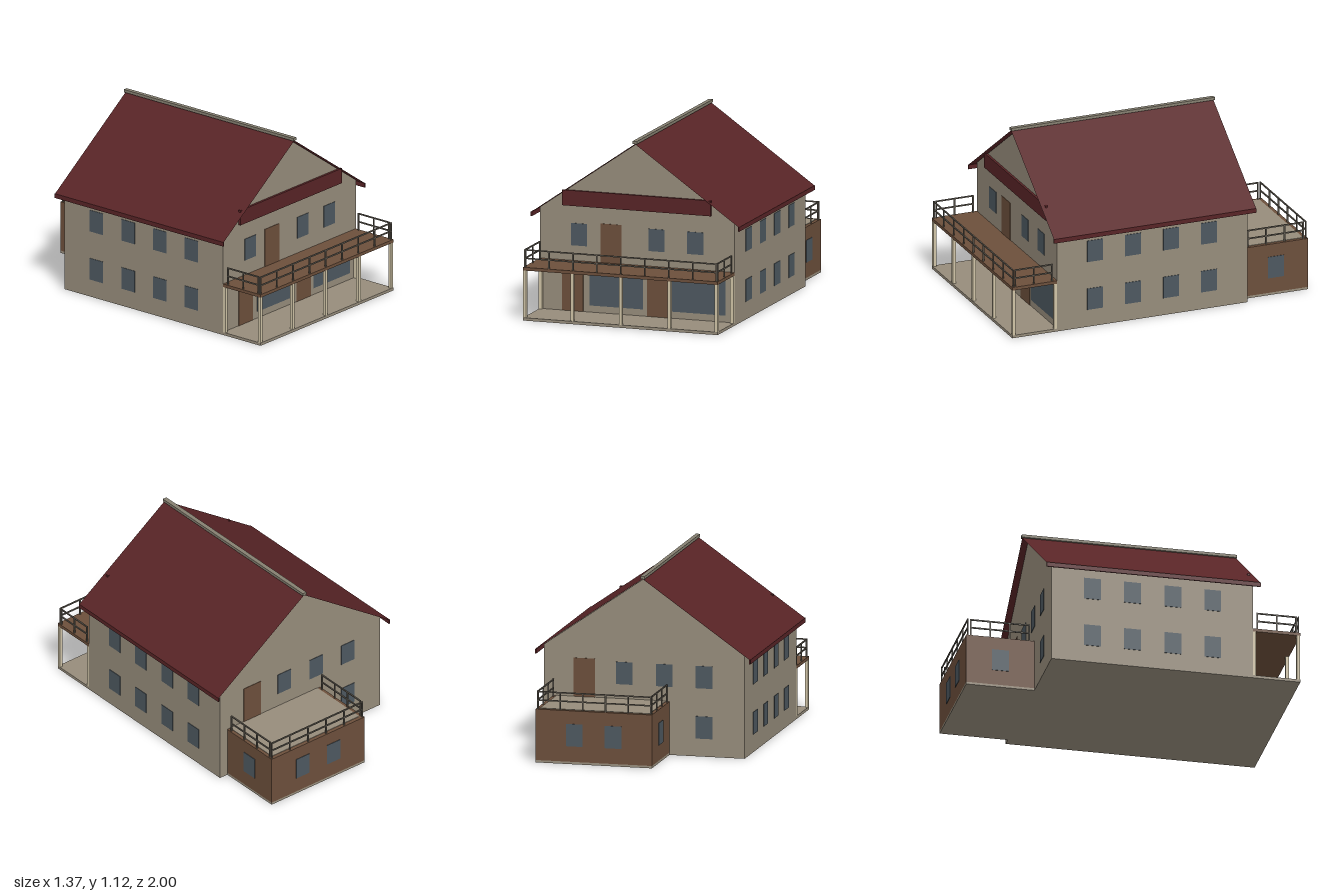
import * as THREE from 'three';

const mat = (name, color, extra = {}) => {
  const m = new THREE.MeshStandardMaterial({ color, ...extra });
  m.name = name;
  return m;
};

export function createModel() {
  const house = new THREE.Group();
  house.name = 'house';
  const wall = mat('beige wall', 0x968c7b);
  const roof = mat('dark red roof', 0x582426, { side: THREE.DoubleSide });
  const wood = mat('brown wood', 0x6c4f3b);
  const glass = mat('blue grey glass', 0x4d5860);
  const cream = mat('cream post', 0xcfc3a6);
  const metal = mat('grey railing', 0x655f55);
  const capGrey = mat('ridge grey', 0x857f70);

  // Box given by its lower and upper limits on each axis
  const box = (name, m, x0, x1, y0, y1, z0, z1) => {
    const mesh = new THREE.Mesh(new THREE.BoxGeometry(x1 - x0, y1 - y0, z1 - z0), m);
    mesh.position.set((x0 + x1) / 2, (y0 + y1) / 2, (z0 + z1) / 2);
    mesh.name = name;
    house.add(mesh);
    return mesh;
  };

  const W = 0.638, FRONT = 0.7, BACK = -0.57, END = 1, EAVE = 0.655, APEX = 1.1;
  const DECK = 0.335, AX0 = -0.16, AX1 = 0.58, T = 0.003;

  // Main body with gables
  const gable = new THREE.Shape([
    [-W, 0], [W, 0], [W, EAVE], [0, APEX], [-W, EAVE],
  ].map(([x, y]) => new THREE.Vector2(x, y)));
  const body = new THREE.Mesh(
    new THREE.ExtrudeGeometry(gable, { depth: FRONT - BACK, bevelEnabled: false }), wall);
  body.position.z = BACK;
  body.name = 'mainBody';
  house.add(body);

  // Roof sheets, eave boards and ridge cap
  const R = 0.68, slope = (APEX - EAVE) / W, RZ0 = -0.61, RZ1 = 0.74;
  for (const s of [-1, 1]) {
    const sheet = new THREE.PlaneGeometry(R * Math.hypot(1, slope), RZ1 - RZ0);
    sheet.rotateX(-Math.PI / 2);
    const mesh = new THREE.Mesh(sheet, roof);
    mesh.rotation.z = -s * Math.atan(slope);
    mesh.position.set(s * R / 2, APEX + 0.004 - slope * R / 2, (RZ0 + RZ1) / 2);
    mesh.name = 'roofSlope';
    house.add(mesh);
    box('eaveBoard', roof, s * R - 0.004, s * R + 0.004, 0.602, 0.63, RZ0, RZ1);
  }
  box('ridgeCap', capGrey, -0.014, 0.014, 1.104, 1.122, RZ0 - 0.005, RZ1 + 0.003);
  box('gableBand', roof, -0.488, 0.488, 0.68, 0.777, FRONT, FRONT + 0.015);

  // Porch floor, balcony deck and posts
  box('porchFloor', wall, -W, W, 0, 0.018, FRONT, END);
  box('balconyDeck', wood, -W, W, 0.315, DECK, FRONT, END);
  for (const x of [-0.628, -0.318, 0, 0.318, 0.628])
    box('porchPost', cream, x - 0.01, x + 0.01, 0.018, 0.315, END - 0.022, END - 0.002);
  for (const x of [-0.628, 0.628])
    box('wallPost', cream, x - 0.01, x + 0.01, 0.018, 0.315, FRONT, FRONT + 0.02);

  // Rear annex with terrace on top
  box('annexBase', wall, AX0, AX1, 0, 0.015, -END, BACK);
  box('annexWalls', wood, AX0, AX1, 0.015, DECK, -END, BACK);
  box('terraceFloor', wall, AX0 + 0.022, AX1 - 0.022, DECK, DECK + T, -END + 0.025, BACK);

  // Straight railing between two points, with posts at even steps
  const railing = (xa, za, xb, zb, spans) => {
    const h = 0.004, top = 0.447;
    for (const y of [0.39, top - h])
      box('rail', metal, Math.min(xa, xb) - h, Math.max(xa, xb) + h, y - h, y + h,
        Math.min(za, zb) - h, Math.max(za, zb) + h);
    for (let i = 0; i <= spans; i++) {
      const x = xa + (xb - xa) * i / spans, z = za + (zb - za) * i / spans;
      box('railingPost', metal, x - h, x + h, DECK, top - h, z - h, z + h);
    }
  };
  railing(-0.628, 0.99, 0.628, 0.99, 8);
  for (const x of [-0.628, 0.628]) railing(x, 0.73, x, 0.975, 2);
  railing(AX0 + 0.01, -0.988, AX1 - 0.01, -0.988, 5);
  for (const x of [AX0 + 0.01, AX1 - 0.01]) railing(x, -0.6, x, -0.97, 3);

  // Thin plates on walls facing along z or x (s is the outward direction)
  const plateZ = (name, m, x0, x1, y0, y1, z, s) =>
    box(name, m, x0, x1, y0, y1, z - (s < 0 ? T : 0), z + (s > 0 ? T : 0));
  const plateX = (z, y0, x, s) =>
    box('window', glass, x - (s < 0 ? T : 0), x + (s > 0 ? T : 0), y0, y0 + 0.14, z - 0.053, z + 0.053);
  const LOW = 0.112, HIGH = 0.428;

  // Front doors and windows
  for (const [x, y0, y1] of [[-0.422, 0.018, 0.265], [0.135, 0.018, 0.265], [-0.17, DECK, 0.58]])
    plateZ('door', wood, x - 0.069, x + 0.069, y0, y1, FRONT, 1);
  for (const x of [-0.38, 0.128, 0.382])
    plateZ('window', glass, x - 0.053, x + 0.053, 0.43, 0.57, FRONT, 1);
  for (const x of [-0.135, 0.405])
    plateZ('shopWindow', glass, x - 0.175, x + 0.175, 0.06, 0.297, FRONT, 1);

  // Side windows on both floors
  for (const s of [-1, 1])
    for (const z of [0.447, 0.195, -0.06, -0.313])
      for (const y of [LOW, HIGH]) plateX(z, y, s * W, s);

  // Back windows, terrace door and annex windows
  for (const [x, y] of [[-0.38, LOW], [-0.38, HIGH], [-0.127, HIGH], [0.127, HIGH]])
    plateZ('window', glass, x - 0.053, x + 0.053, y, y + 0.14, BACK, -1);
  plateZ('terraceDoor', wood, 0.313, 0.451, DECK, 0.58, BACK, -1);
  for (const x of [0.087, 0.333])
    plateZ('annexWindow', glass, x - 0.053, x + 0.053, LOW, LOW + 0.14, -END, -1);
  plateX(-0.785, LOW, AX0, -1);
  plateX(-0.785, LOW, AX1, 1);

  return house;
}
